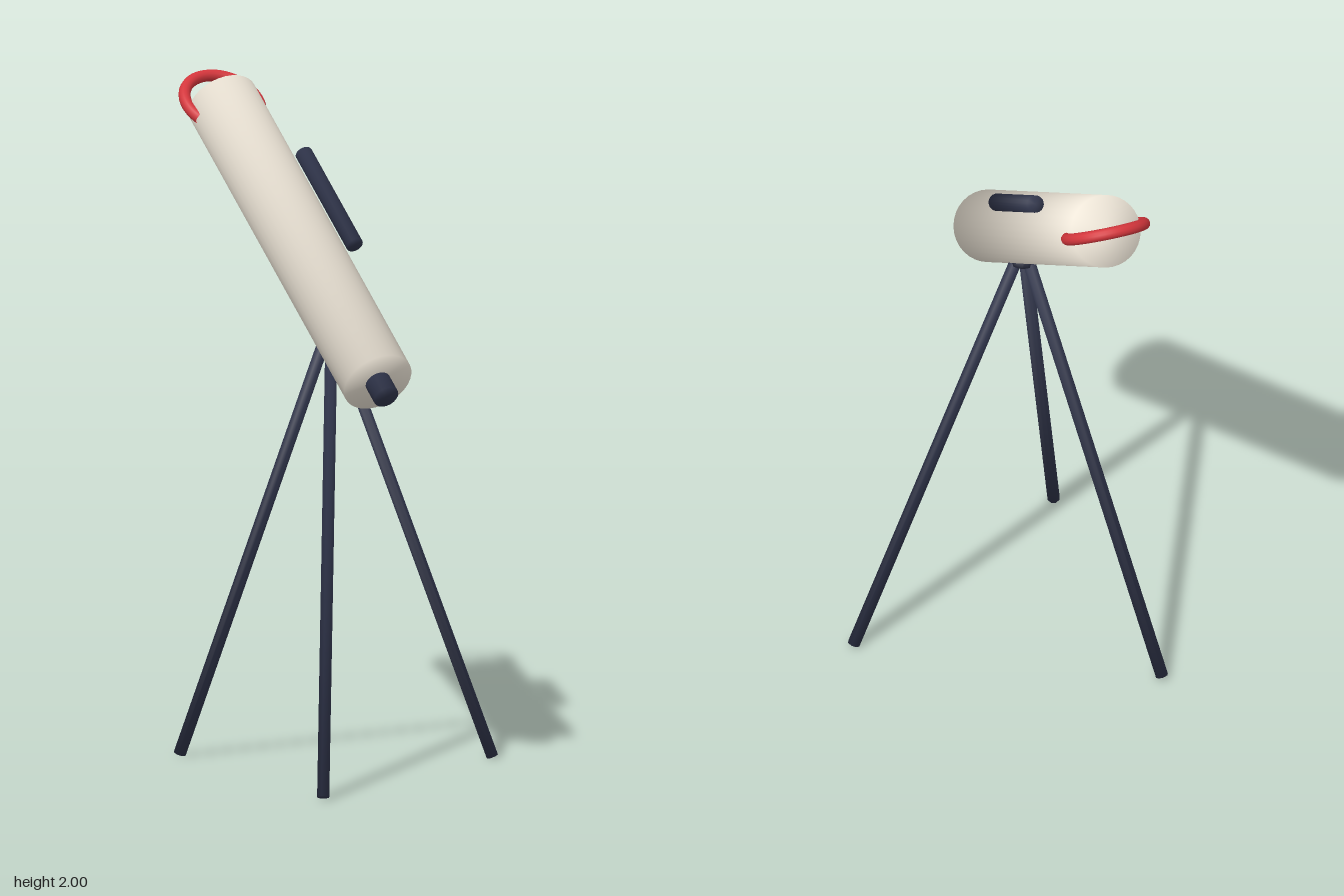
import * as THREE from 'three';

const cream = new THREE.MeshStandardMaterial({ color: 0xece4d6 });
const navy = new THREE.MeshStandardMaterial({ color: 0x2f344a });
const red = new THREE.MeshStandardMaterial({ color: 0xd4363c });

// Closed cylinder whose shading runs smoothly over the rims
function rod(name, radius, length, sides, material) {
  const geometry = new THREE.CylinderGeometry(radius, radius, length, sides);
  const { position, normal } = geometry.attributes;
  const n = new THREE.Vector3();
  for (let i = 0; i < position.count; i++) {
    n.set(position.getX(i) / radius, Math.sign(position.getY(i)), position.getZ(i) / radius).normalize();
    normal.setXYZ(i, n.x, n.y, n.z);
  }
  const mesh = new THREE.Mesh(geometry, material);
  mesh.name = name;
  return mesh;
}

// Rod stretched between two points
function rodBetween(name, a, b, radius, sides, material) {
  const along = b.clone().sub(a);
  const mesh = rod(name, radius, along.length(), sides, material);
  mesh.position.copy(a).add(b).multiplyScalar(0.5);
  mesh.quaternion.setFromUnitVectors(new THREE.Vector3(0, 1, 0), along.normalize());
  return mesh;
}

export function createModel() {
  const model = new THREE.Group();
  model.name = 'telescope';
  const cx = -0.139, cz = 0.17;

  // Optical assembly: local +y points along the tube towards the sky
  const optics = new THREE.Group();
  optics.name = 'opticalAssembly';
  optics.position.set(cx, 1.563, -0.035);
  optics.rotation.x = THREE.MathUtils.degToRad(-55.2);
  model.add(optics);

  const tubeLength = 1.226;
  optics.add(rod('mainTube', 0.108, tubeLength, 32, cream));

  const eyepiece = rod('eyepiece', 0.039, 0.1, 20, navy);
  eyepiece.position.y = -tubeLength / 2 - 0.016;
  optics.add(eyepiece);

  const finder = rod('finderScope', 0.026, 0.402, 20, navy);
  finder.position.set(0.098, 0.07, 0.099);
  optics.add(finder);

  // Open hoop around the upper end
  const arc = THREE.MathUtils.degToRad(240);
  const hoop = new THREE.Mesh(new THREE.TorusGeometry(0.117, 0.018, 12, 40, arc), red);
  hoop.material.side = THREE.DoubleSide;
  hoop.name = 'hoop';
  hoop.position.y = tubeLength / 2 - 0.002;
  hoop.rotation.z = Math.PI / 2 - arc / 2;
  optics.add(hoop);

  // Tripod
  const hub = rod('tripodHub', 0.04, 0.035, 16, navy);
  hub.position.set(cx, 1.313, cz);
  model.add(hub);
  for (let i = 0; i < 3; i++) {
    const a = (i * 2 * Math.PI) / 3;
    const at = (r, y) => new THREE.Vector3(cx + r * Math.cos(a), y, cz + r * Math.sin(a));
    model.add(rodBetween('tripodLeg', at(0.536, 0.008), at(0.017, 1.315), 0.019, 8, navy));
  }
  return model;
}
